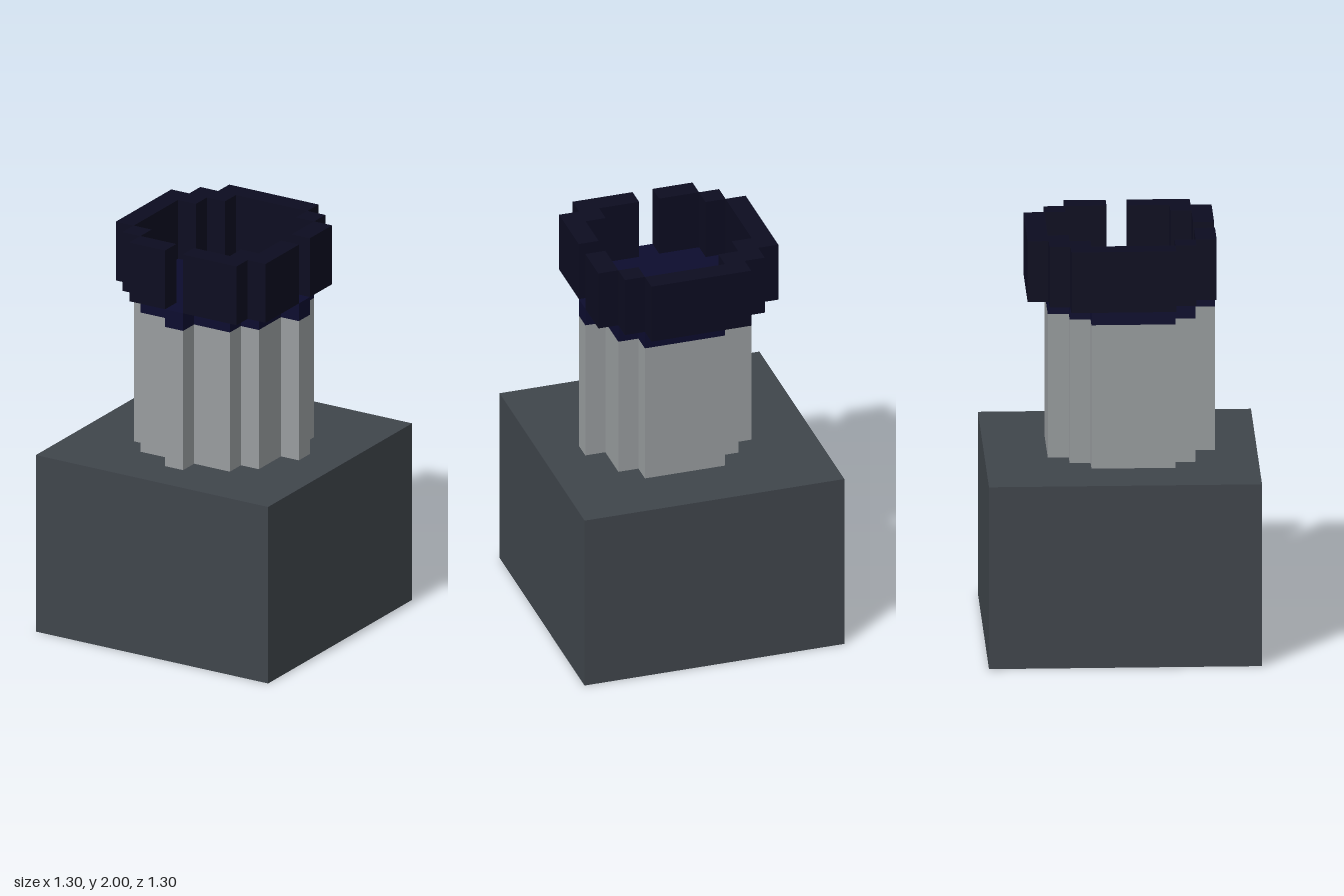
import * as THREE from 'three';

const mat = (name, color) => {
  const m = new THREE.MeshStandardMaterial({ color });
  m.name = name;
  return m;
};

// Upright prism from a floor plan of [x, z] corners
function prism(name, plan, y0, y1, material) {
  const shape = new THREE.Shape(plan.map(([x, z]) => new THREE.Vector2(x, -z)));
  const geo = new THREE.ExtrudeGeometry(shape, { depth: y1 - y0, bevelEnabled: false });
  geo.rotateX(-Math.PI / 2).translate(0, y0, 0);
  const mesh = new THREE.Mesh(geo, material);
  mesh.name = name;
  return mesh;
}

const rect = (x0, x1, z0, z1) => [[x0, z0], [x1, z0], [x1, z1], [x0, z1]];

export function createModel() {
  const slate = mat('slate grey', 0x3f454b);
  const stone = mat('light grey', 0x989c9e);
  const navy = mat('navy', 0x0c0c2e);
  const ink = mat('dark navy', 0x0c0c20);

  const model = new THREE.Group();
  model.name = 'tower';

  // Square base
  const base = new THREE.Mesh(new THREE.BoxGeometry(1.3, 0.9, 1.3), slate);
  base.position.y = 0.45;
  base.name = 'base';
  model.add(base);

  // Stepped round plan with a rib on the front and on the +x side
  const plan = [
    [-0.15, -0.35], [0.25, -0.35], [0.25, -0.25], [0.35, -0.25],
    [0.35, -0.05], [0.45, -0.05], [0.45, 0.05], [0.35, 0.05],
    [0.35, 0.25], [0.25, 0.25], [0.25, 0.35], [0.05, 0.35],
    [0.05, 0.45], [-0.05, 0.45], [-0.05, 0.35], [-0.25, 0.35],
    [-0.25, 0.25], [-0.35, 0.25], [-0.35, -0.15], [-0.25, -0.15],
    [-0.25, -0.25], [-0.15, -0.25],
  ];
  model.add(prism('shaft', plan, 0.9, 1.61, stone));
  model.add(prism('platform', plan, 1.61, 1.7, navy));

  // Parapet: wall sections around the platform, open at the two ribs
  const parapet = new THREE.Group();
  parapet.name = 'parapet';
  const walls = {
    backWall: [
      [0.25, -0.45], [0.25, -0.35], [-0.15, -0.35], [-0.15, -0.25],
      [-0.25, -0.25], [-0.25, -0.15], [-0.35, -0.15], [-0.35, 0.25],
      [-0.45, 0.25], [-0.45, -0.25], [-0.35, -0.25], [-0.35, -0.35],
      [-0.25, -0.35], [-0.25, -0.45],
    ],
    backCornerPost: rect(0.25, 0.35, -0.35, -0.25),
    sideWall: rect(0.35, 0.45, -0.25, -0.05),
    frontCornerPost: rect(-0.35, -0.25, 0.25, 0.35),
    frontWall: rect(-0.25, -0.05, 0.35, 0.45),
    frontCornerWall: [
      [0.05, 0.35], [0.25, 0.35], [0.25, 0.25], [0.35, 0.25], [0.35, 0.05],
      [0.45, 0.05], [0.45, 0.35], [0.35, 0.35], [0.35, 0.45], [0.05, 0.45],
    ],
  };
  for (const [name, corners] of Object.entries(walls)) {
    parapet.add(prism(name, corners, 1.7, 2, ink));
  }
  model.add(parapet);

  return model;
}
